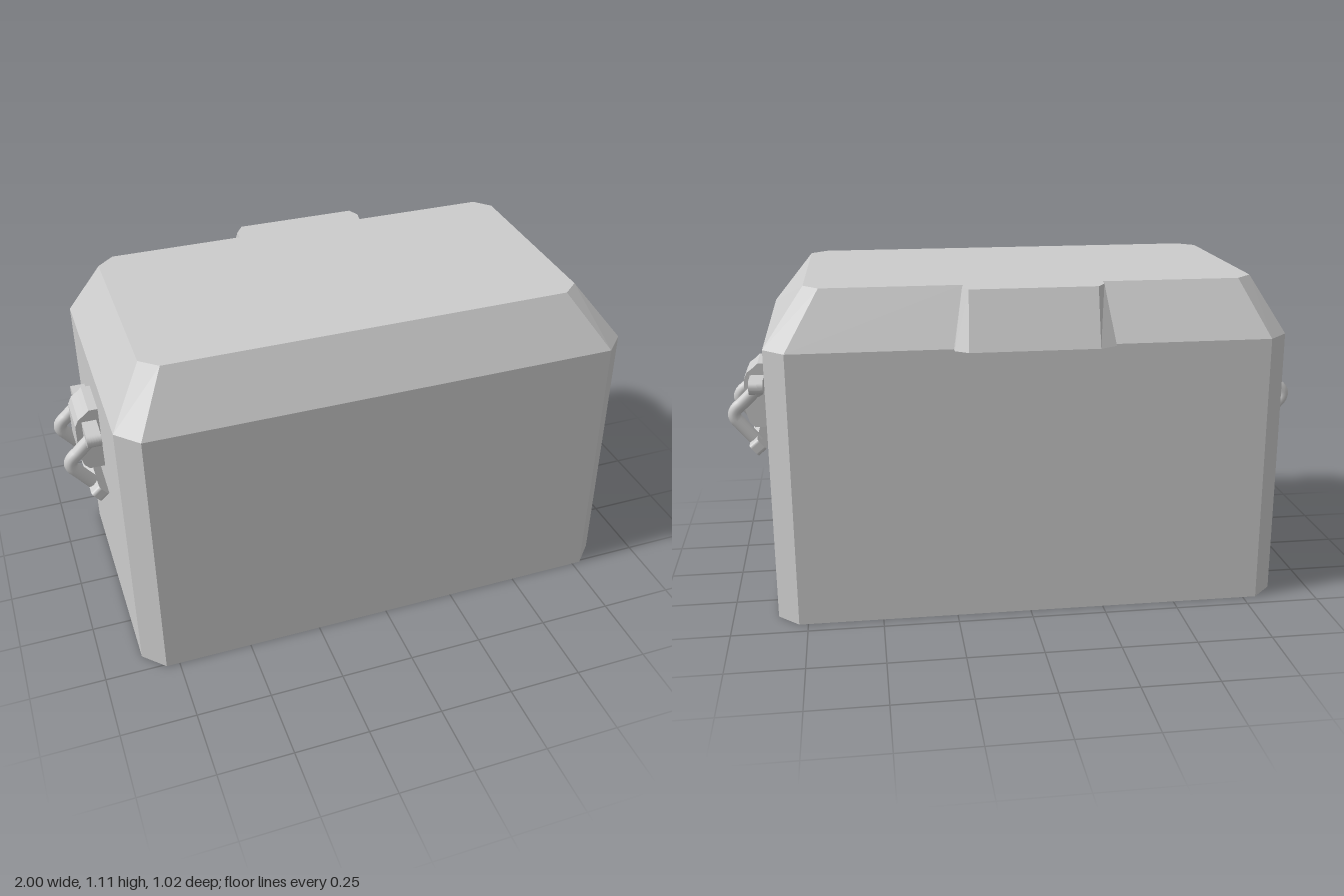
import * as THREE from 'three';

const flat = new THREE.MeshStandardMaterial({ color: 0xcccccc, flatShading: true, side: THREE.DoubleSide });
const smooth = new THREE.MeshStandardMaterial({ color: 0xcccccc });

function addMesh(parent, name, geometry, material) {
  const mesh = new THREE.Mesh(geometry, material);
  mesh.name = name;
  parent.add(mesh);
  return mesh;
}

// Closed solid between two [x, z] outlines, listed counterclockwise from above
function loft(lower, upper, y0, y1) {
  const pos = [];
  const low = (i) => [lower[i][0], y0, lower[i][1]];
  const up = (i) => [upper[i][0], y1, upper[i][1]];
  const n = lower.length;
  for (let i = 0; i < n; i++) {
    const j = (i + 1) % n;
    pos.push(...low(i), ...low(j), ...up(j), ...low(i), ...up(j), ...up(i));
  }
  const cap = (loop) => THREE.ShapeUtils.triangulateShape(loop.map(([x, z]) => new THREE.Vector2(x, -z)), []);
  for (const [a, b, c] of cap(upper)) pos.push(...up(a), ...up(b), ...up(c));
  for (const [a, b, c] of cap(lower)) pos.push(...low(a), ...low(c), ...low(b));
  const g = new THREE.BufferGeometry();
  g.setAttribute('position', new THREE.Float32BufferAttribute(pos, 3));
  g.computeVertexNormals();
  return g;
}

// Bar along z with rounded ends, thickness along x
function barGeometry(length, height, thickness, r) {
  const w = length / 2, h = height / 2;
  const s = new THREE.Shape();
  s.moveTo(-w + r, -h);
  s.lineTo(w - r, -h);
  s.absarc(w - r, -h + r, r, -Math.PI / 2, 0, false);
  s.absarc(w - r, h - r, r, 0, Math.PI / 2, false);
  s.absarc(-w + r, h - r, r, Math.PI / 2, Math.PI, false);
  s.absarc(-w + r, -h + r, r, Math.PI, Math.PI * 1.5, false);
  const g = new THREE.ExtrudeGeometry(s, { depth: thickness, bevelEnabled: false, curveSegments: 5 });
  return g.translate(0, 0, -thickness / 2).rotateY(Math.PI / 2);
}

// Side handle facing +x
function createHandle() {
  const handle = new THREE.Group();

  // Bracket block with chamfered upper and lower edges
  const profile = [[0.84, 0.572], [0.915, 0.572], [0.932, 0.59], [0.944, 0.63],
    [0.944, 0.745], [0.932, 0.77], [0.91, 0.786], [0.895, 0.8], [0.84, 0.8]];
  const shape = new THREE.Shape(profile.map(([x, y]) => new THREE.Vector2(x, y)));
  const bracket = new THREE.ExtrudeGeometry(shape, { depth: 0.15, bevelEnabled: false }).translate(0, 0, -0.075);
  addMesh(handle, 'bracket', bracket, flat);

  // Hinge bar through the bracket
  addMesh(handle, 'hingeBar', barGeometry(0.346, 0.048, 0.048, 0.022), flat).position.set(0.898, 0.736, 0);

  // Tilted grip at the bottom
  const grip = addMesh(handle, 'grip', barGeometry(0.346, 0.048, 0.036, 0.012), flat);
  grip.position.set(0.902, 0.528, 0);
  grip.rotation.z = -0.7;

  // Bent rods joining hinge bar and grip
  for (const z of [-0.114, 0.114]) {
    const path = new THREE.CurvePath();
    const p = (x, y) => new THREE.Vector3(x, y, z);
    path.add(new THREE.LineCurve3(p(0.898, 0.722), p(0.954, 0.668)));
    path.add(new THREE.QuadraticBezierCurve3(p(0.954, 0.668), p(0.998, 0.638), p(0.964, 0.605)));
    path.add(new THREE.LineCurve3(p(0.964, 0.605), p(0.905, 0.532)));
    addMesh(handle, 'rod', new THREE.TubeGeometry(path, 24, 0.0225, 14), smooth);
    addMesh(handle, 'rodEnd', new THREE.SphereGeometry(0.0225, 14, 8), smooth).position.copy(p(0.898, 0.716));
  }
  return handle;
}

export function createModel() {
  const model = new THREE.Group();
  model.name = 'chest';

  // Front and side corners, then the two back corners
  const base = [[-0.865, 0.435], [-0.795, 0.508], [0.78, 0.508], [0.85, 0.435], [0.85, -0.38], [0.78, -0.45]];
  const baseBack = [[-0.795, -0.45], [-0.865, -0.38]];
  const top = [[-0.757, 0.353], [-0.7, 0.402], [0.65, 0.402], [0.705, 0.353], [0.717, -0.3], [0.668, -0.355]];
  const topBack = [[-0.7, -0.355], [-0.757, -0.3]];

  // Box with chamfered corners
  const outline = [...base, ...baseBack];
  addMesh(model, 'body', loft(outline, outline, 0, 0.925), flat);

  // Sloped lid with a raised tab at the back
  const tabLow = [[0.25, -0.45], [0.25, -0.476], [0.208, -0.508], [-0.212, -0.508], [-0.27, -0.476], [-0.27, -0.45]];
  const tabTop = [[0.21, -0.355], [0.217, -0.395], [0.2, -0.437], [-0.215, -0.437], [-0.242, -0.395], [-0.245, -0.355]];
  addMesh(model, 'lid', loft([...base, ...tabLow, ...baseBack], [...top, ...tabTop, ...topBack], 0.925, 1.112), flat);

  // Handles on both ends
  for (const side of [1, -1]) {
    const handle = createHandle();
    handle.name = side > 0 ? 'leftHandle' : 'rightHandle';
    handle.rotation.y = side > 0 ? 0 : Math.PI;
    handle.position.z = 0.018;
    model.add(handle);
  }
  return model;
}
